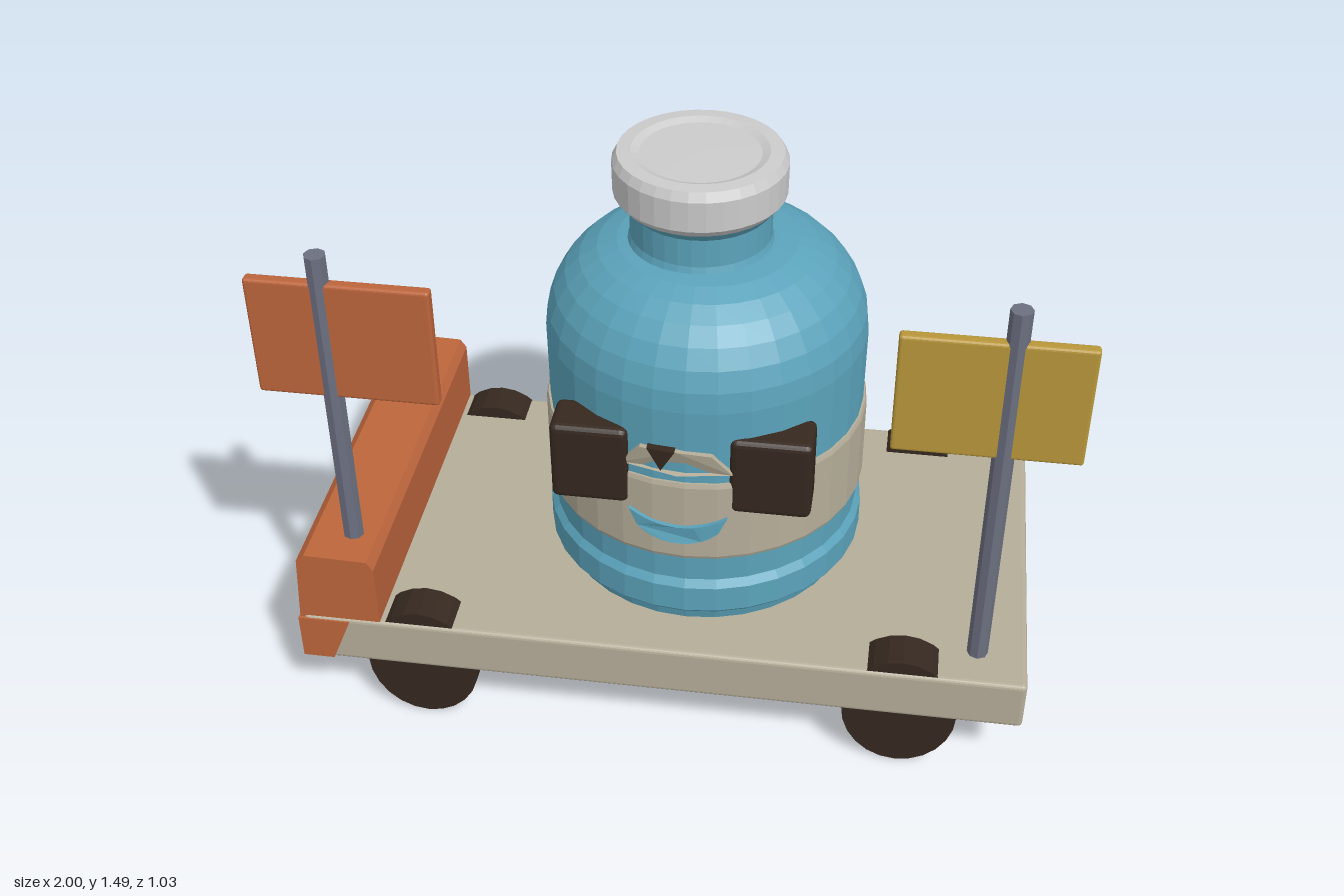
import * as THREE from 'three';
import { RoundedBoxGeometry } from 'three/addons/geometries/RoundedBoxGeometry.js';

const mat = (color) => new THREE.MeshStandardMaterial({ color, flatShading: true });
const BLUE = mat(0x5ba3bb), CREAM = mat(0xb5ad99), ORANGE = mat(0xbc653b), YELLOW = mat(0xb8973a);
const DARK = mat(0x35281f), STEEL = mat(0x6b6f7f), CAP = mat(0xbdbdbd);
const CX = 0.053, CZ = -0.015, R = 0.42; // bottle axis and radius

export function createModel() {
  const model = new THREE.Group();

  const add = (name, geometry, material, x = 0, y = 0, z = 0) => {
    const mesh = new THREE.Mesh(geometry, material);
    mesh.name = name;
    mesh.position.set(x, y, z);
    model.add(mesh);
    return mesh;
  };
  // Box given by its extents
  const box = (name, material, [x0, x1], [y0, y1], [z0, z1], r = 0.012) =>
    add(name, new RoundedBoxGeometry(x1 - x0, y1 - y0, z1 - z0, 2, r), material,
      (x0 + x1) / 2, (y0 + y1) / 2, (z0 + z1) / 2);
  const lathe = (name, material, points, x) =>
    add(name, new THREE.LatheGeometry(points.map((p) => new THREE.Vector2(...p)), 32), material, x, 0, CZ);
  const extrude = (points, depth) => new THREE.ExtrudeGeometry(
    new THREE.Shape(points.map((p) => new THREE.Vector2(...p))), { depth, bevelEnabled: false });
  // Thin patch projected onto the front of the bottle
  const facePatch = (name, material, points, lift) => {
    const g = extrude(points, 0.03), p = g.attributes.position;
    for (let i = 0; i < p.count; i++) {
      const dx = p.getX(i) - CX;
      p.setZ(i, CZ + Math.sqrt(R * R - dx * dx) + p.getZ(i) - 0.03 + lift);
    }
    g.computeVertexNormals();
    add(name, g, material);
  };

  // Cart deck
  box('deck', CREAM, [-0.945, 0.94], [0.17, 0.313], [-0.51, 0.51]);

  // Raised bar across one end, with painted corners on the deck below
  add('endBar', extrude([[-0.955, 0.3], [-0.738, 0.3], [-0.738, 0.49], [-0.755, 0.515],
    [-0.92, 0.52], [-0.942, 0.5]], 1.01), ORANGE, 0, 0, -0.505);
  for (const z of [-0.513, 0.473]) {
    add('deckCorner', extrude([[-0.958, 0.172], [-0.875, 0.172], [-0.82, 0.305], [-0.958, 0.305]], 0.04),
      ORANGE, 0, 0, z);
  }

  // Wheels, slightly taller than wide, with hubs, and an axle per pair
  for (const [x, axleMaterial] of [[-0.635, BLUE], [0.625, CREAM]]) {
    for (const side of [-1, 1]) {
      const wheel = add('wheel', new THREE.CylinderGeometry(0.175, 0.175, 0.102, 24).rotateX(Math.PI / 2),
        DARK, x, 0.175, side * 0.452);
      wheel.scale.x = 0.847;
      add('hub', new THREE.CylinderGeometry(0.07, 0.07, 0.02, 16).rotateX(Math.PI / 2),
        axleMaterial, x, 0.13, side * 0.394);
    }
    add('axle', new THREE.CylinderGeometry(0.046, 0.046, 0.82, 16).rotateX(Math.PI / 2), axleMaterial, x, 0.13, 0);
  }

  // Bottle
  const body = [[0, 0.305], [0.385, 0.305], [0.395, 0.345], [0.415, 0.36], [0.423, 0.37], [0.423, 0.445],
    [0.408, 0.465], [0.412, 0.78], [0.414, 1.0]];
  for (let i = 1; i <= 7; i++) { // rounded shoulder
    const a = (i / 7) * Math.PI / 2;
    body.push([0.175 + 0.239 * Math.cos(a), 1.0 + 0.25 * Math.sin(a)]);
  }
  body.push([0, 1.25]);
  lathe('bottleBody', BLUE, body, CX);
  lathe('bottleBand', CREAM, [[0.39, 0.545], [0.418, 0.545], [0.422, 0.555], [0.422, 0.775],
    [0.418, 0.787], [0.39, 0.787]], CX);
  lathe('bottleNeck', BLUE, [[0.19, 1.23], [0.178, 1.265], [0.178, 1.34], [0.205, 1.375], [0, 1.375]], 0.036);
  lathe('bottleCap', CAP, [[0, 1.365], [0.2, 1.365], [0.216, 1.385], [0.217, 1.465], [0.205, 1.488],
    [0.17, 1.49], [0.15, 1.482], [0, 1.484]], 0.033);

  // Sunglasses
  box('leftLens', DARK, [0.16, 0.365], [0.695, 0.92], [0.265, 0.39], 0.018);
  box('rightLens', DARK, [-0.287, -0.092], [0.695, 0.92], [0.265, 0.39], 0.018);
  facePatch('bridge', DARK, [[-0.04, 0.893], [-0.005, 0.832], [0.03, 0.893]], 0.014);
  facePatch('nosePatch', CREAM, [[-0.11, 0.82], [0.035, 0.815], [0.17, 0.82], [0.12, 0.88],
    [0.035, 0.888], [-0.06, 0.885]], 0.006);

  // Crescent smile
  const smile = [];
  const mouthX = (t) => 0.035 + 0.125 * t;
  for (let i = 0; i <= 12; i++) {
    const t = i / 6 - 1;
    smile.push([mouthX(t), 0.685 - 0.082 * Math.sqrt(1 - t * t)]);
  }
  for (let i = 11; i >= 1; i--) {
    const t = i / 6 - 1;
    smile.push([mouthX(t), 0.685 - 0.03 * (1 - t * t)]);
  }
  facePatch('smile', BLUE, smile, 0.012);

  // Flags on poles
  for (const [name, material, poleX, x0, y0] of [
    ['rightFlag', ORANGE, -0.818, -1.0, 0.97], ['leftFlag', YELLOW, 0.812, 0.545, 0.958]]) {
    add(name + 'Pole', new THREE.CylinderGeometry(0.027, 0.027, 1.08, 8), STEEL, poleX, 0.83, 0.395);
    box(name, material, [x0, x0 + 0.453], [y0, y0 + 0.327], [0.383, 0.415], 0.008);
  }
  // Painted patch on the back of one flag
  add('flagPatch', extrude([[0.79, 1.275], [0.79, 0.99], [0.66, 0.965], [0.64, 1.05], [0.7, 1.19]], 0.004),
    ORANGE, 0, 0, 0.381);

  return model;
}
